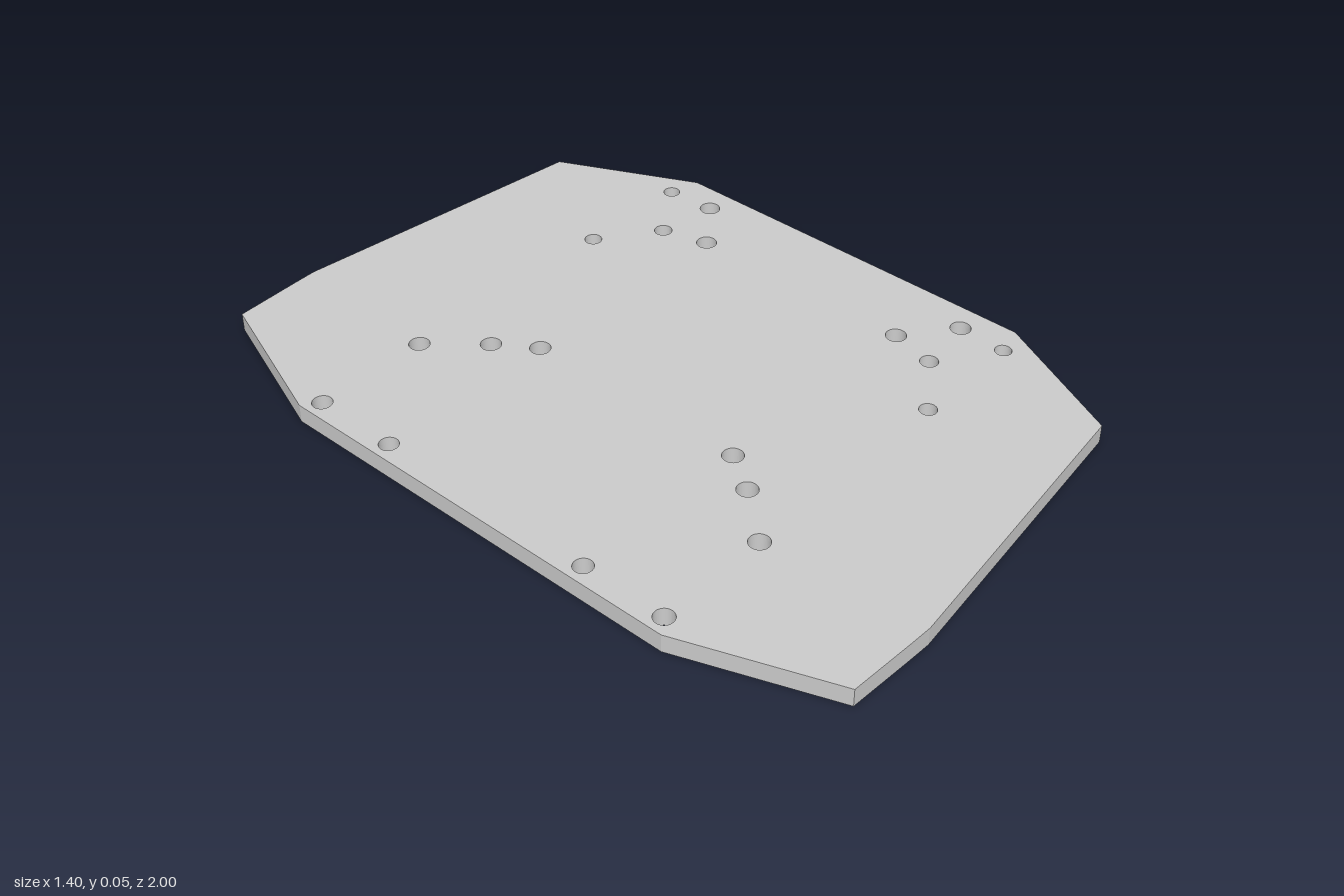
import * as THREE from 'three';

const THICKNESS = 0.05;

// Half outline (x, z) from the left edge round to the right; mirrored across z = 0
const HALF_OUTLINE = [
  [-0.7, 0.588], [-0.553, 0.99], [-0.37, 0.998], [-0.305, 1], [0.523, 0.903], [0.7, 0.535],
];

// Drilled holes on one half: x, z, radius
const HOLES = [
  [-0.655, 0.556, 0.026], [-0.655, 0.317, 0.025],
  [-0.337, 0.556, 0.027], [-0.218, 0.421, 0.027], [-0.147, 0.317, 0.027],
  [0.298, 0.556, 0.023], [0.616, 0.556, 0.022],
  [0.456, 0.444, 0.024], [0.623, 0.421, 0.027], [0.489, 0.317, 0.027],
];

export function createModel() {
  const group = new THREE.Group();
  group.name = 'mountingPlate';

  // Plate outline, symmetric front to back
  const mirrored = HALF_OUTLINE.map(([x, z]) => [x, -z]).reverse();
  const shape = new THREE.Shape(
    [...HALF_OUTLINE, ...mirrored].map(([x, z]) => new THREE.Vector2(x, z)),
  );

  // Through holes in both halves
  for (const side of [1, -1]) {
    for (const [x, z, r] of HOLES) {
      shape.holes.push(new THREE.Path().absarc(x, side * z, r, 0, Math.PI * 2));
    }
  }

  const geometry = new THREE.ExtrudeGeometry(shape, {
    depth: THICKNESS, bevelEnabled: false, curveSegments: 24,
  });
  geometry.rotateX(-Math.PI / 2); // lay flat, standing on y = 0

  const plate = new THREE.Mesh(geometry, new THREE.MeshStandardMaterial({ color: 0xcccccc }));
  plate.name = 'drilledPlate';
  group.add(plate);
  return group;
}
